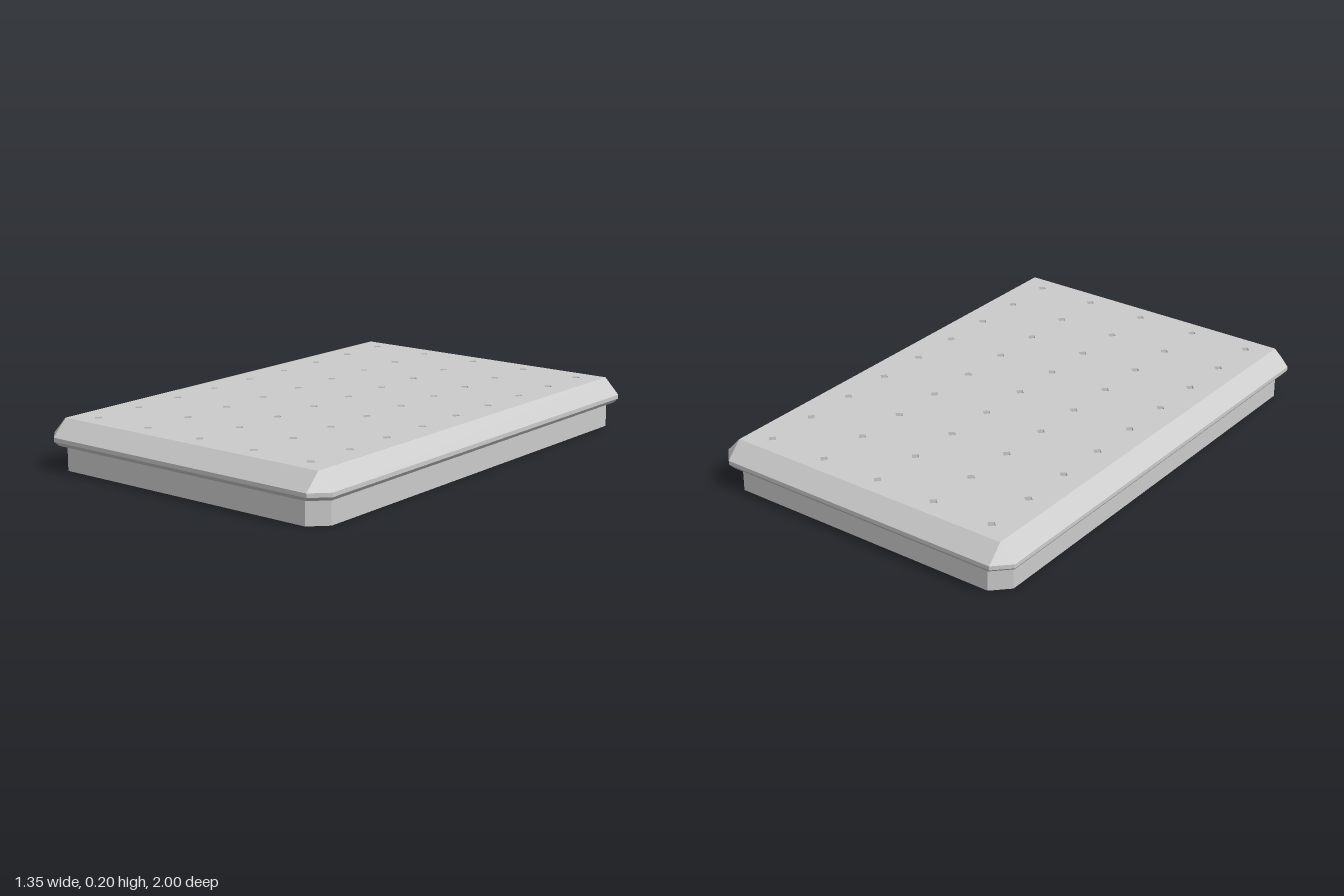
import * as THREE from 'three';

const material = new THREE.MeshStandardMaterial({ color: 0xcccccc, flatShading: true });
const boreMaterial = new THREE.MeshStandardMaterial({ color: 0xcccccc, flatShading: true, side: THREE.BackSide });

const TOP = 0.195, LIP = 0.098, CEILING = 0.062, HOLE = 0.018, HOLE_SIDES = 4;

// Rectangle with cut corners; x and z are half sizes, c is the corner cut
function outline(x, z, c) {
  return [
    [x, z - c], [x, c - z], [x - c, -z], [c - x, -z],
    [-x, c - z], [-x, z - c], [c - x, z], [x - c, z],
  ];
}

// Joins a stack of rings { x, z, c, y } with flat, outward-facing bands
function loft(rings) {
  const pos = [];
  for (let r = 0; r < rings.length - 1; r++) {
    const [lo, hi] = [rings[r], rings[r + 1]];
    const a = outline(lo.x, lo.z, lo.c), b = outline(hi.x, hi.z, hi.c);
    for (let i = 0; i < 8; i++) {
      const j = (i + 1) % 8;
      const p = [a[i][0], lo.y, a[i][1]], q = [a[j][0], lo.y, a[j][1]];
      const s = [b[j][0], hi.y, b[j][1]], t = [b[i][0], hi.y, b[i][1]];
      pos.push(...p, ...q, ...s);
      if (s[0] !== t[0] || s[2] !== t[2]) pos.push(...p, ...s, ...t);
    }
  }
  const geometry = new THREE.BufferGeometry();
  geometry.setAttribute('position', new THREE.Float32BufferAttribute(pos, 3));
  geometry.computeVertexNormals();
  return geometry;
}

// Centres of the 5 x 9 grid of drain holes
const holes = [];
for (let i = -2; i <= 2; i++) {
  for (let k = -4; k <= 4; k++) holes.push([i * 0.258, k * 0.215]);
}

// Horizontal perforated sheet, facing up or down
function sheet(x, z, c, y, up) {
  const unique = outline(x, z, c).filter((p, i, l) => {
    const n = l[(i + 1) % 8];
    return p[0] !== n[0] || p[1] !== n[1];
  });
  const shape = new THREE.Shape(unique.map((p) => new THREE.Vector2(...p)));
  for (const [hx, hz] of holes) {
    const ring = [];
    for (let n = 0; n < HOLE_SIDES; n++) {
      const t = (n * 2 * Math.PI) / HOLE_SIDES;
      ring.push(new THREE.Vector2(hx + HOLE * Math.cos(t), hz + HOLE * Math.sin(t)));
    }
    shape.holes.push(new THREE.Path(ring));
  }
  return new THREE.ShapeGeometry(shape).rotateX(up ? -Math.PI / 2 : Math.PI / 2).translate(0, y, 0);
}

export function createModel() {
  const model = new THREE.Group();
  const add = (name, geometry) => {
    const mesh = new THREE.Mesh(geometry, material);
    mesh.name = name;
    model.add(mesh);
  };

  // Lid rim: underside lip, small lower bevel, straight edge, wide upper bevel
  add('lidRim', loft([
    { x: 0.641, z: 0.965, c: 0.064, y: LIP },
    { x: 0.662, z: 0.987, c: 0.064, y: LIP },
    { x: 0.675, z: 1, c: 0.063, y: 0.114 },
    { x: 0.675, z: 1, c: 0.063, y: 0.13 },
    { x: 0.612, z: 0.937, c: 0, y: TOP },
  ]));
  add('topPanel', sheet(0.612, 0.937, 0, TOP, true));

  // Skirt: upright outside, inner face sloping in to the recessed underside
  add('skirt', loft([
    { x: 0.579, z: 0.903, c: 0.03, y: CEILING },
    { x: 0.641, z: 0.965, c: 0.064, y: 0 },
    { x: 0.641, z: 0.965, c: 0.064, y: LIP },
  ]));
  add('undersidePanel', sheet(0.579, 0.903, 0.03, CEILING, false));

  // Bores joining the two panels
  const bores = new THREE.Group();
  bores.name = 'drainHoles';
  const bore = new THREE.CylinderGeometry(HOLE, HOLE, TOP - CEILING, HOLE_SIDES, 1, true);
  for (const [x, z] of holes) {
    const mesh = new THREE.Mesh(bore, boreMaterial);
    mesh.name = 'drainHole';
    mesh.position.set(x, (TOP + CEILING) / 2, z);
    bores.add(mesh);
  }
  model.add(bores);
  return model;
}
